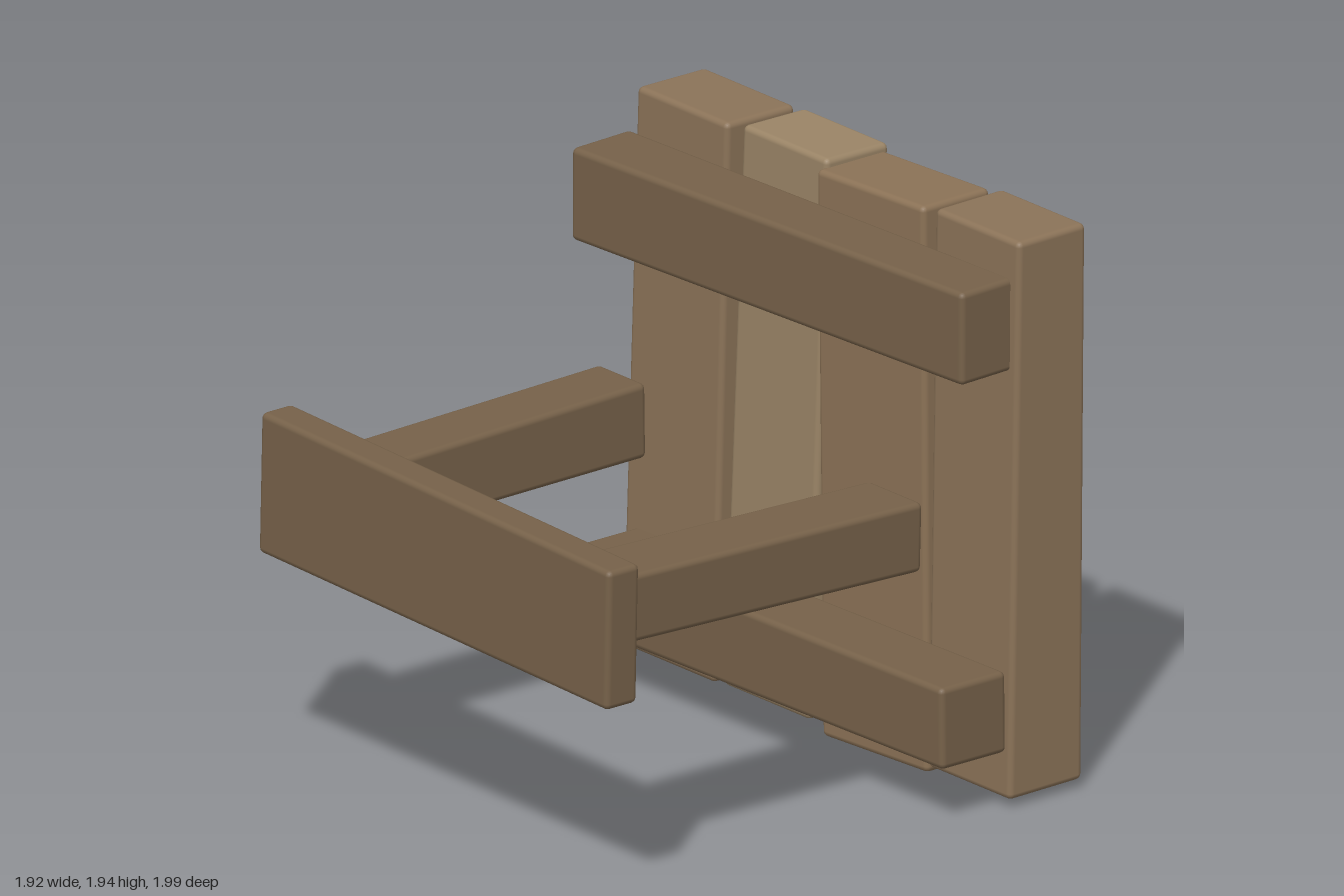
import * as THREE from 'three';
import { RoundedBoxGeometry } from 'three/addons/geometries/RoundedBoxGeometry.js';

const lerp = THREE.MathUtils.lerp;
const wood = (color) => new THREE.MeshStandardMaterial({ color });
const DARK = wood(0x766149);
const NAIL = wood(0x33343a);

// A hewn board running along one axis (0 x, 1 y, 2 z) between two ends.
// Each end is [position, u low, u high, v low, v high], u and v being the other axes in order.
function board(name, axis, a, b, material) {
  const [u, v] = [0, 1, 2].filter((i) => i !== axis);
  const mid = a.map((n, i) => (n + b[i]) / 2);
  const len = b[0] - a[0];
  const size = [0, 0, 0];
  size[axis] = len;
  size[u] = mid[2] - mid[1];
  size[v] = mid[4] - mid[3];
  const slopeU = (b[1] + b[2] - a[1] - a[2]) / 2 / len;
  const slopeV = (b[3] + b[4] - a[3] - a[4]) / 2 / len;

  const geo = new RoundedBoxGeometry(...size, 2, 0.02);
  const pos = geo.attributes.position;
  for (let i = 0; i < pos.count; i++) {
    const p = [pos.getX(i), pos.getY(i), pos.getZ(i)];
    const t = p[axis] / len + 0.5;
    const q = [0, 0, 0];
    // ends stay square to the leaning centre line
    q[axis] = mid[0] + p[axis] - slopeU * p[u] - slopeV * p[v];
    q[u] = lerp(lerp(a[1], b[1], t), lerp(a[2], b[2], t), p[u] / size[u] + 0.5);
    q[v] = lerp(lerp(a[3], b[3], t), lerp(a[4], b[4], t), p[v] / size[v] + 0.5);
    pos.setXYZ(i, ...q);
  }
  const mesh = new THREE.Mesh(geo, material);
  mesh.name = name;
  return mesh;
}

export function createModel() {
  const group = new THREE.Group();
  group.name = 'woodenFrame';

  // upright planks: bottom end, top end, colour, nail x, nail heights
  const planks = [
    [[0.035, -0.96, -0.51, -0.97, -0.68], [1.935, -0.92, -0.48, -1.0, -0.71], 0x8b7358, -0.72, [0.31]],
    [[0.04, -0.46, -0.04, -0.965, -0.67], [1.94, -0.42, -0.01, -0.985, -0.72], 0x9a8466, -0.24, [0.3, 1.66]],
    [[0.01, 0.02, 0.53, -0.965, -0.67], [1.915, -0.03, 0.49, -0.975, -0.69], 0x8b7256, 0.25, [0.28, 1.61]],
    [[0.035, 0.525, 0.925, -0.985, -0.675], [1.935, 0.55, 0.96, -0.97, -0.685], 0x8b7358, 0.74, [1.65]],
  ];
  planks.forEach(([low, high, color, x, heights], i) => {
    group.add(board('plank' + (i + 1), 1, low, high, wood(color)));
    // nail heads on the back face
    for (const y of heights) {
      const nail = new THREE.Mesh(new THREE.CylinderGeometry(0.02, 0.02, 0.03, 8), NAIL);
      nail.name = 'nailHead';
      nail.rotation.x = Math.PI / 2;
      nail.position.set(x, y, lerp(low[3], high[3], (y - low[0]) / (high[0] - low[0])));
      group.add(nail);
    }
  });

  // cross rails and the wide front board
  group.add(
    board('upperRail', 0, [-0.905, 1.495, 1.81, -0.67, -0.415], [0.92, 1.485, 1.8, -0.7, -0.475], DARK),
    board('lowerRail', 0, [-0.905, 0.175, 0.455, -0.71, -0.45], [0.92, 0.2, 0.475, -0.665, -0.395], DARK),
    board('frontBoard', 0, [-0.865, 0.77, 1.25, 0.805, 0.935], [0.885, 0.725, 1.2, 0.86, 0.99], DARK)
  );

  // arms reaching back from the front board
  group.add(
    board('rightArm', 2, [-0.405, -0.75, -0.515, 0.865, 1.12], [0.88, -0.79, -0.55, 0.855, 1.09], DARK),
    board('leftArm', 2, [-0.4, 0.555, 0.825, 0.85, 1.085], [0.9, 0.52, 0.785, 0.89, 1.12], DARK)
  );

  return group;
}
